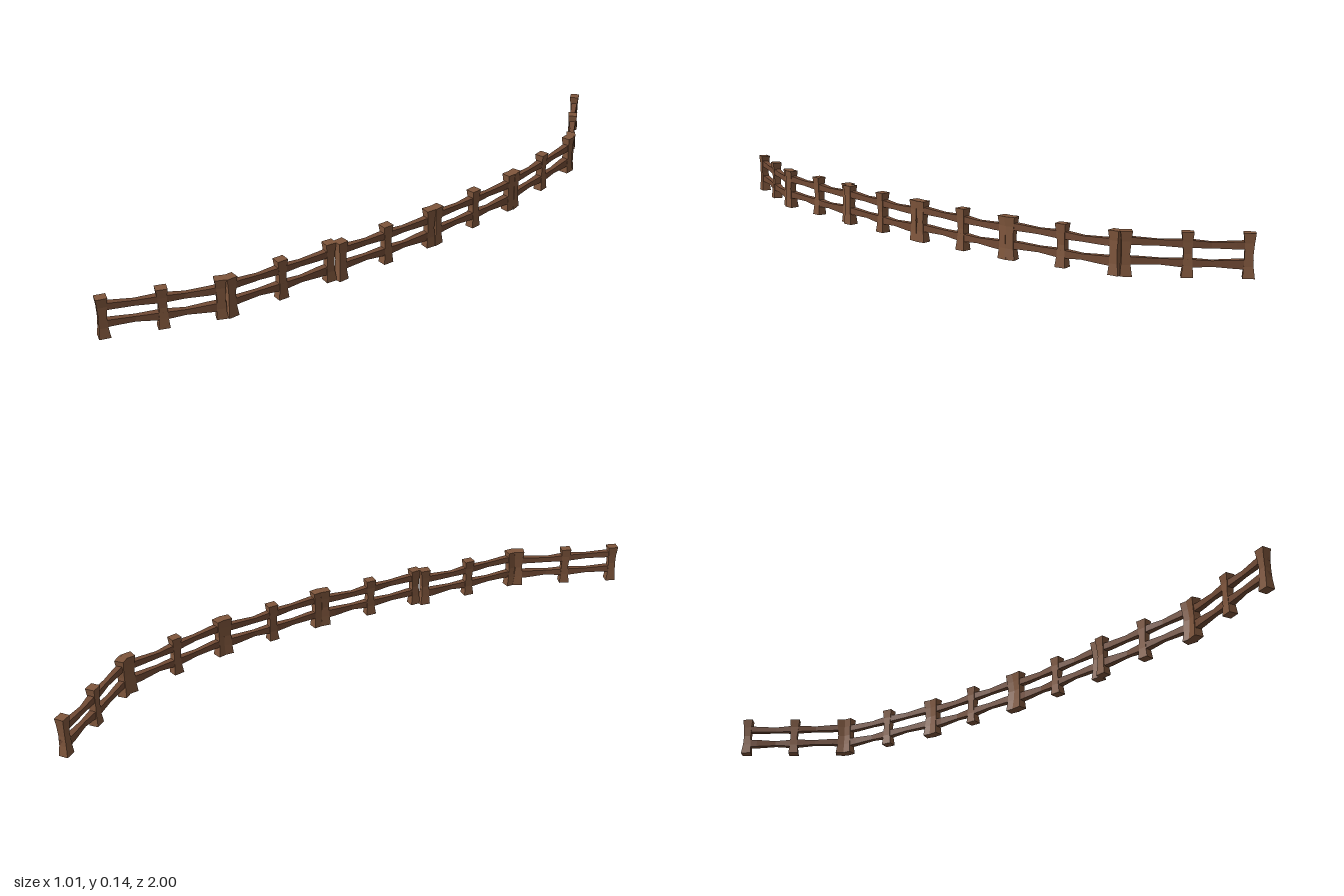
import * as THREE from 'three';

const postWood = new THREE.MeshStandardMaterial({ color: 0x7f563c, flatShading: true });
const railWood = new THREE.MeshStandardMaterial({ color: 0x714a34, flatShading: true });

// Rough-hewn beam along +x: each station is [x, centreY, centreZ, halfHeight, halfDepth]
function beam(stations) {
  const pos = [], index = [];
  for (const [x, y, z, h, d] of stations)
    pos.push(x, y - h, z - d, x, y - h, z + d, x, y + h, z + d, x, y + h, z - d);
  const n = stations.length - 1;
  for (let i = 0; i < n; i++)
    for (let k = 0; k < 4; k++) {
      const a = i * 4 + k, b = i * 4 + (k + 1) % 4;
      index.push(a, a + 4, b, b, a + 4, b + 4);
    }
  const e = n * 4;
  index.push(0, 1, 2, 0, 2, 3, e, e + 2, e + 1, e, e + 3, e + 2);
  const geo = new THREE.BufferGeometry();
  geo.setAttribute('position', new THREE.Float32BufferAttribute(pos, 3));
  geo.setIndex(index);
  geo.computeVertexNormals();
  return geo;
}

// Post: a beam stood upright, flared at foot and head with a narrow waist
const postGeo = beam([
  [0, 0, 0, 0.018, 0.016],
  [0.035, 0.001, 0, 0.014, 0.013],
  [0.07, 0.001, 0.001, 0.0125, 0.012],
  [0.105, 0, 0, 0.0145, 0.013],
  [0.135, 0, 0, 0.018, 0.016],
]).rotateZ(Math.PI / 2);

// Rails: slightly bowed, thinner between the posts
const upperRailGeo = beam([
  [-0.19, 0.105, 0, 0.011, 0.011],
  [-0.15, 0.105, 0.001, 0.011, 0.01],
  [-0.08, 0.102, 0.002, 0.009, 0.008],
  [0, 0.1, 0, 0.012, 0.012],
  [0.07, 0.096, -0.002, 0.009, 0.008],
  [0.14, 0.097, 0, 0.011, 0.01],
  [0.19, 0.099, 0, 0.012, 0.011],
]);
const lowerRailGeo = beam([
  [-0.19, 0.046, 0, 0.012, 0.011],
  [-0.15, 0.047, -0.001, 0.011, 0.01],
  [-0.08, 0.045, -0.002, 0.009, 0.008],
  [0, 0.042, 0, 0.013, 0.012],
  [0.07, 0.042, 0.002, 0.009, 0.008],
  [0.14, 0.041, 0, 0.013, 0.011],
  [0.19, 0.041, 0, 0.015, 0.011],
]);

function part(name, geo, material, x = 0, turn = 0) {
  const mesh = new THREE.Mesh(geo, material);
  mesh.name = name;
  mesh.position.x = x;
  mesh.rotation.y = turn;
  return mesh;
}

// Straight panel of three posts and two rails between two ground points
function panel([x0, z0, x1, z1]) {
  const g = new THREE.Group();
  g.name = 'fencePanel';
  const half = Math.hypot(x1 - x0, z1 - z0) / 2;
  g.add(part('startPost', postGeo, postWood, -half, 0.06));
  g.add(part('middlePost', postGeo, postWood, 0, Math.PI));
  g.add(part('endPost', postGeo, postWood, half, -0.06));
  g.add(part('upperRail', upperRailGeo, railWood));
  g.add(part('lowerRail', lowerRailGeo, railWood));
  g.position.set((x0 + x1) / 2, 0, (z0 + z1) / 2);
  g.rotation.y = -Math.atan2(z1 - z0, x1 - x0);
  return g;
}

export function createModel() {
  const fence = new THREE.Group();
  fence.name = 'fence';
  // Panel ends [x, z, x, z] along the curve
  const runs = [
    [-0.485, 0.975, -0.215, 0.75],
    [-0.193, 0.73, -0.003, 0.43],
    [0.028, 0.41, 0.21, 0.105],
    [0.225, 0.08, 0.375, -0.24],
    [0.384, -0.262, 0.484, -0.605],
    [0.485, -0.635, 0.408, -0.982],
  ];
  for (const run of runs) fence.add(panel(run));
  return fence;
}
